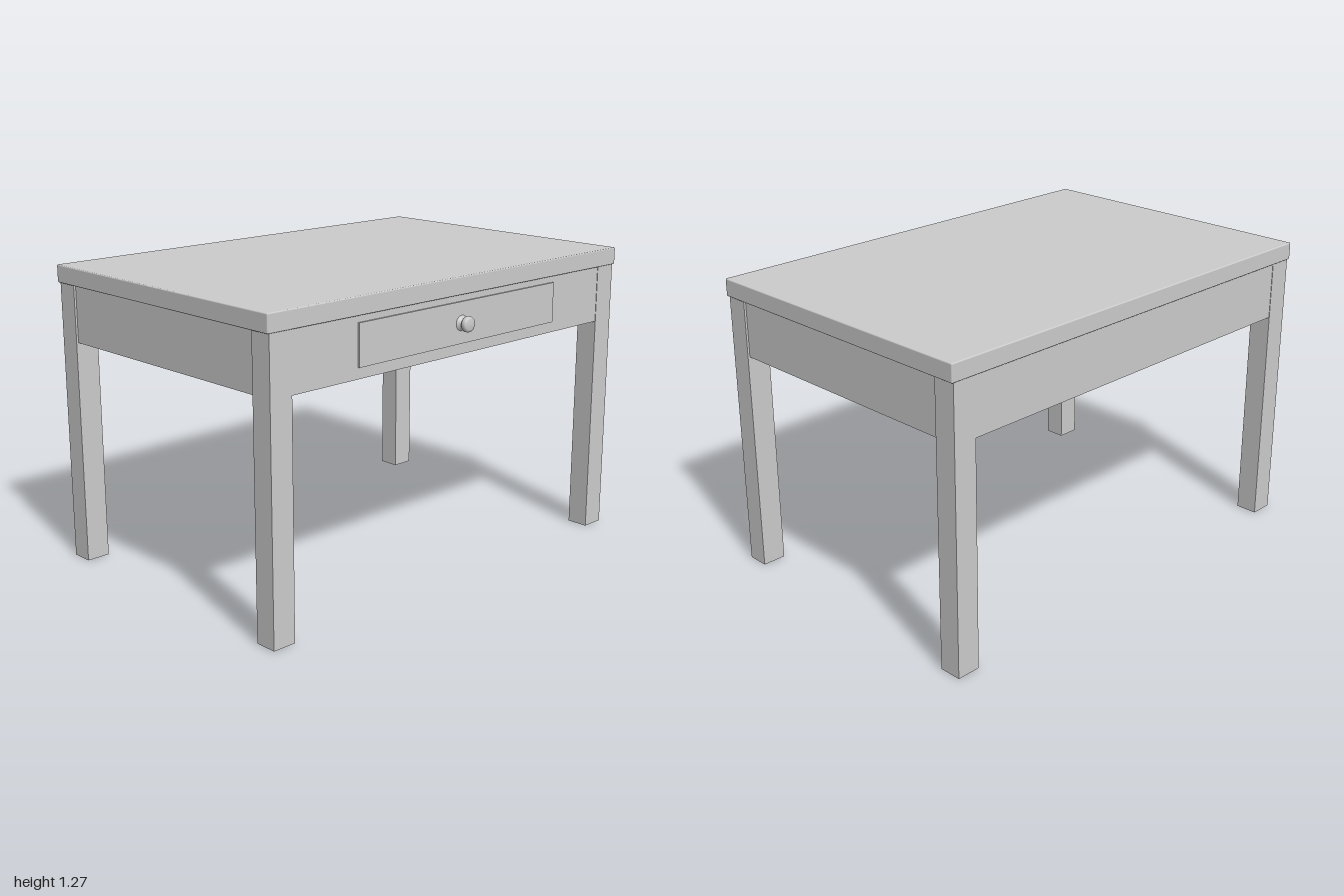
import * as THREE from 'three';
import { RoundedBoxGeometry } from 'three/addons/geometries/RoundedBoxGeometry.js';

const material = new THREE.MeshStandardMaterial({ color: 0xcccccc });
const openMaterial = new THREE.MeshStandardMaterial({ color: 0xcccccc, side: THREE.DoubleSide });

export function createModel() {
  const group = new THREE.Group();

  const add = (name, geometry, mat = material) => {
    const mesh = new THREE.Mesh(geometry, mat);
    mesh.name = name;
    group.add(mesh);
    return mesh;
  };
  // Box given by its limits on each axis
  const block = (name, [x0, x1], [y0, y1], [z0, z1]) =>
    add(name, new THREE.BoxGeometry(x1 - x0, y1 - y0, z1 - z0))
      .position.set((x0 + x1) / 2, (y0 + y1) / 2, (z0 + z1) / 2);

  // Table top with slightly eased edges
  add('tableTop', new RoundedBoxGeometry(1.322, 0.074, 2, 2, 0.005)).position.set(-0.024, 1.233, 0);

  const underside = 1.197;
  const apronY = [0.955, underside];
  const legX = { right: [-0.68, -0.584], left: [0.537, 0.632] };

  // Four square legs, hollow and open at the ends
  for (const [side, [x0, x1]] of Object.entries(legX)) {
    for (const s of [1, -1]) {
      const leg = new THREE.CylinderGeometry(Math.SQRT1_2, Math.SQRT1_2, 1, 4, 1, true)
        .rotateY(Math.PI / 4).toNonIndexed();
      leg.scale(x1 - x0, underside, 0.103);
      leg.computeVertexNormals();
      add(`${side}${s > 0 ? 'Front' : 'Back'}Leg`, leg, openMaterial)
        .position.set((x0 + x1) / 2, underside / 2, s * 0.9375);
    }
  }

  // Long aprons are as thick as the legs, short ones are thin boards
  block('rightApron', [-0.678, -0.584], apronY, [-0.886, 0.886]);
  block('leftApron', [0.537, 0.63], apronY, [-0.886, 0.886]);
  block('frontApron', [-0.584, 0.537], apronY, [0.938, 0.98]);
  block('backApron', [-0.584, 0.537], apronY, [-0.98, -0.938]);

  // Drawer front standing just proud of the left apron
  block('drawerFront', [0.62, 0.637], [1.0, 1.17], [-0.575, 0.56]);

  // Turned knob: flared foot, narrow neck, rounded head
  const profile = [
    [0.034, 0], [0.029, 0.004], [0.019, 0.011], [0.017, 0.017], [0.02, 0.021],
    [0.029, 0.025], [0.032, 0.03], [0.032, 0.04], [0.029, 0.046], [0.02, 0.049], [0, 0.05],
  ].map(([r, y]) => new THREE.Vector2(r, y));
  const knob = add('drawerKnob', new THREE.LatheGeometry(profile, 32));
  knob.rotation.z = -Math.PI / 2;
  knob.position.set(0.635, 1.084, 0);

  return group;
}
